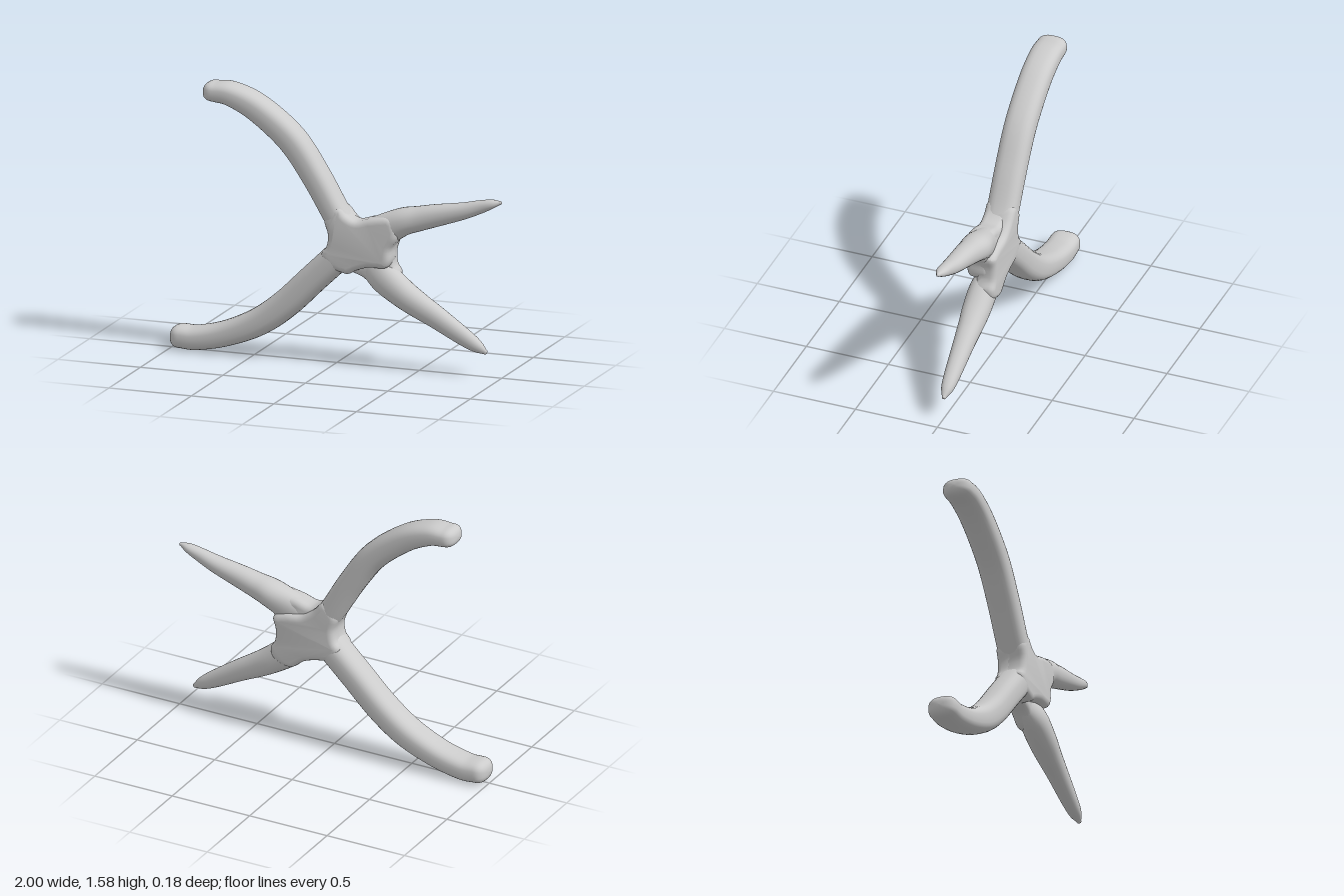
import * as THREE from 'three';
import { mergeVertices, toCreasedNormals } from 'three/addons/utils/BufferGeometryUtils.js';

const material = new THREE.MeshStandardMaterial({ color: 0xcccccc });
const SIDES = 28, STEPS = 48, CAP_STEPS = 8;

// Sweeps a rounded-box section through stations [x, y, halfWidth, halfDepth, z],
// closing both ends with rounded caps of the given lengths.
function sweep(name, stations, capStart, capEnd, power = 2.7) {
  const centre = new THREE.CatmullRomCurve3(
    stations.map(([x, y, , , z = 0]) => new THREE.Vector3(x, y, z)), false, 'catmullrom');
  const size = new THREE.CatmullRomCurve3(
    stations.map(([, , w, d]) => new THREE.Vector3(w, d, 0)), false, 'catmullrom');

  // Each ring: position on the path, shift along the tangent, scale
  const rings = [];
  const capScale = (u) => Math.pow(Math.max(0, 1 - Math.pow(u, 2.5)), 1 / 2.5);
  for (let i = 0; i < CAP_STEPS; i++) {
    const u = Math.cos((i / CAP_STEPS) * Math.PI / 2);
    rings.push([0, -capStart * u, capScale(u)]);
  }
  for (let i = 0; i <= STEPS; i++) rings.push([i / STEPS, 0, 1]);
  for (let i = 1; i <= CAP_STEPS; i++) {
    const u = Math.sin((i / CAP_STEPS) * Math.PI / 2);
    rings.push([1, capEnd * u, i === CAP_STEPS ? 0 : capScale(u)]);
  }

  const positions = [], index = [];
  const round = (v) => Math.sign(v) * Math.pow(Math.abs(v), 2 / power);
  rings.forEach(([t, shift, scale], i) => {
    const p = centre.getPoint(t), r = size.getPoint(t), tan = centre.getTangent(t);
    tan.z = 0;
    tan.normalize();
    for (let j = 0; j < SIDES; j++) {
      const a = (j / SIDES) * Math.PI * 2;
      const w = round(Math.cos(a)) * r.x * scale;
      const d = round(Math.sin(a)) * r.y * scale;
      positions.push(p.x + tan.x * shift - tan.y * w, p.y + tan.y * shift + tan.x * w, p.z + d);
      if (i === rings.length - 1) continue;
      const k = (j + 1) % SIDES, q = i * SIDES;
      index.push(q + j, q + k, q + SIDES + j, q + k, q + SIDES + k, q + SIDES + j);
    }
  });
  const geometry = new THREE.BufferGeometry();
  geometry.setAttribute('position', new THREE.Float32BufferAttribute(positions, 3));
  geometry.setIndex(index);
  geometry.computeVertexNormals();
  const mesh = new THREE.Mesh(geometry, material);
  mesh.name = name;
  return mesh;
}

// Bevelled plate with a smooth outline, from z0 to z1
function plate(name, points, z0, z1) {
  const outline = new THREE.CatmullRomCurve3(
    points.map(([x, y]) => new THREE.Vector3(x, y, 0)), true, 'centripetal');
  const shape = new THREE.Shape(outline.getPoints(72).slice(0, -1).map((p) => new THREE.Vector2(p.x, p.y)));
  const bevel = 0.035;
  let geometry = new THREE.ExtrudeGeometry(shape, {
    depth: z1 - z0 - 2 * bevel, bevelEnabled: true, bevelThickness: bevel,
    bevelSize: bevel, bevelOffset: -bevel, bevelSegments: 4,
  });
  geometry.translate(0, 0, z0 + bevel);
  geometry.deleteAttribute('normal');
  geometry.deleteAttribute('uv');
  geometry = toCreasedNormals(mergeVertices(geometry, 1e-4), 0.7);
  const mesh = new THREE.Mesh(geometry, material);
  mesh.name = name;
  return mesh;
}

export function createModel() {
  const group = new THREE.Group();
  group.name = 'pliers';

  // Curved handles
  group.add(sweep('upperHandle', [
    [-0.735, 1.527, 0.057, 0.088], [-0.63, 1.517, 0.066, 0.09], [-0.47, 1.445, 0.075, 0.09],
    [-0.27, 1.285, 0.079, 0.09], [-0.125, 1.085, 0.076, 0.09], [0, 0.875, 0.074, 0.09],
    [0.09, 0.74, 0.08, 0.088],
  ], 0.065, 0.05));
  group.add(sweep('lowerHandle', [
    [-0.935, 0.076, 0.066, 0.088], [-0.84, 0.075, 0.068, 0.09], [-0.67, 0.115, 0.072, 0.09],
    [-0.475, 0.2, 0.08, 0.09], [-0.31, 0.32, 0.083, 0.09], [-0.14, 0.485, 0.083, 0.09],
    [0, 0.62, 0.084, 0.09], [0.1, 0.72, 0.085, 0.088],
  ], 0.065, 0.05));

  // Tapered jaws, each set towards its own side at the joint
  group.add(sweep('upperJaw', [
    [0.16, 0.755, 0.09, 0.065, 0.02], [0.28, 0.805, 0.093, 0.075, 0.012], [0.4, 0.865, 0.08, 0.087],
    [0.5, 0.893, 0.071, 0.075], [0.6, 0.92, 0.064, 0.066], [0.76, 0.96, 0.049, 0.053],
    [0.86, 0.992, 0.039, 0.041], [0.94, 1.018, 0.026, 0.032], [0.99, 1.03, 0.01, 0.01],
  ], 0.05, 0.01, 2.2));
  group.add(sweep('lowerJaw', [
    [0.2, 0.61, 0.085, 0.055, -0.03], [0.285, 0.53, 0.09, 0.078, -0.005], [0.4, 0.445, 0.08, 0.08],
    [0.5, 0.383, 0.072, 0.07], [0.6, 0.327, 0.064, 0.06], [0.77, 0.225, 0.05, 0.046],
    [0.85, 0.178, 0.036, 0.035], [0.9, 0.148, 0.014, 0.012],
  ], 0.05, 0.01, 2.2));

  // Overlapping halves of the pivot
  group.add(plate('frontPivotPlate', [
    [-0.05, 0.85], [-0.03, 0.765], [-0.04, 0.695], [-0.07, 0.65], [-0.01, 0.57], [0.04, 0.555],
    [0.09, 0.545], [0.14, 0.57], [0.22, 0.595], [0.32, 0.6], [0.345, 0.64], [0.348, 0.71],
    [0.39, 0.785], [0.36, 0.89], [0.24, 0.885], [0.14, 0.86], [0.08, 0.885], [0.03, 0.93],
  ], -0.05, 0.09));
  group.add(plate('backPivotPlate', [
    [-0.05, 0.85], [-0.03, 0.765], [-0.04, 0.695], [-0.07, 0.65], [-0.01, 0.57], [0.04, 0.555],
    [0.09, 0.545], [0.16, 0.52], [0.25, 0.46], [0.36, 0.5], [0.375, 0.56], [0.348, 0.61],
    [0.345, 0.69], [0.36, 0.76], [0.28, 0.795], [0.18, 0.81], [0.11, 0.855], [0.03, 0.93],
  ], -0.09, 0.03));

  return group;
}
